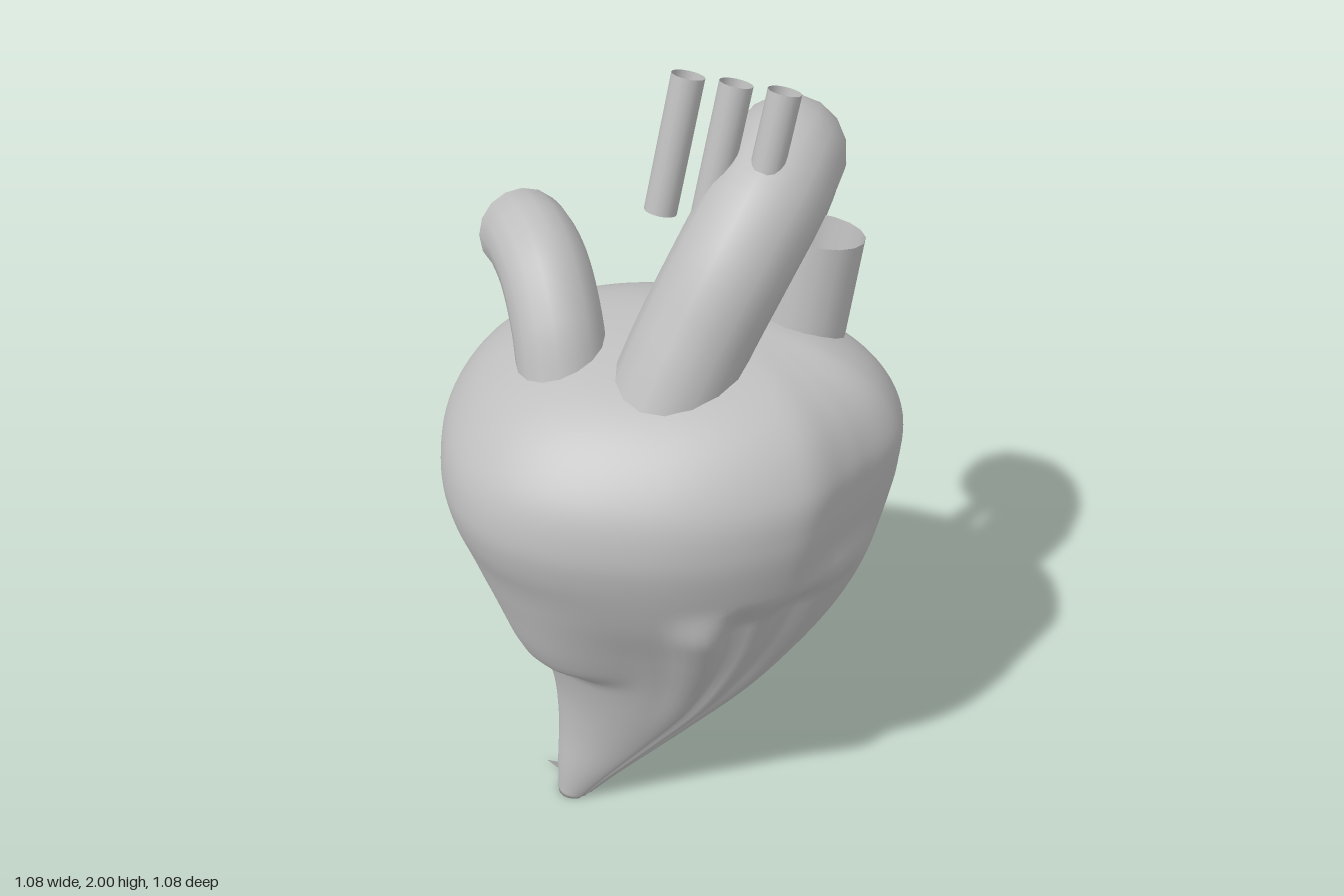
import * as THREE from 'three';

const tissue = new THREE.MeshStandardMaterial({ color: 0xbebebe, side: THREE.DoubleSide });
tissue.name = 'tissue grey';

const v = (x, y, z) => new THREE.Vector3(x, y, z);
const step = THREE.MathUtils.smoothstep;

// Cross-sections of the body: y, min x, max x, min z, max z
const SECTIONS = [
  [0.0, -0.25, -0.15, 0.14, 0.25],
  [0.1, -0.255, -0.06, 0.09, 0.26],
  [0.25, -0.265, 0.09, -0.02, 0.27],
  [0.4, -0.295, 0.235, -0.155, 0.295],
  [0.55, -0.355, 0.345, -0.27, 0.335],
  [0.7, -0.425, 0.43, -0.35, 0.395],
  [0.85, -0.49, 0.49, -0.415, 0.465],
  [1.0, -0.53, 0.525, -0.45, 0.515],
  [1.1, -0.54, 0.54, -0.46, 0.525],
  [1.2, -0.52, 0.54, -0.435, 0.495],
  [1.3, -0.45, 0.49, -0.345, 0.41],
  [1.37, -0.34, 0.4, -0.24, 0.3],
  [1.41, -0.22, 0.27, -0.15, 0.16],
  [1.435, 0.0, 0.02, -0.03, -0.01],
];

function makeBody() {
  const spline = (f) => new THREE.CatmullRomCurve3(SECTIONS.map(f), false, 'catmullrom', 0.5);
  const centres = spline(([y, a, b, c, d]) => v((a + b) / 2, y, (c + d) / 2));
  const radii = spline(([y, a, b, c, d]) => v((b - a) / 2, y, (d - c) / 2));
  const rows = 91, cols = 120;
  const pos = [], index = [];
  for (let i = 0; i <= rows; i++) {
    const c = centres.getPoint(i / rows), r = radii.getPoint(i / rows);
    const low = 1 - step(c.y, 0.8, 0.93);
    const swell = step(c.y, 0.52, 0.61) * (1 - step(c.y, 0.62, 0.95));
    for (let j = 0; j < cols; j++) {
      const t = (j / cols) * Math.PI * 2;
      const turn = (a) => Math.atan2(Math.sin(t - a), Math.cos(t - a));
      const near = (a, inner, outer) => 1 - step(Math.abs(turn(a)), inner, outer);
      // Folds sunk into the front of the left side, below the wide upper part
      const side = step(turn(0), 0, 0.3) * (1 - step(turn(0), 0.82, 1.02));
      const folds = low * side * (0.09 + 0.035 * Math.cos(14 * (t - 0.5)));
      // Raised edge along the front of the folds
      const edge = 0.07 * low * step(c.y, 0.3, 0.8) * near(1.06, 0.02, 0.2);
      // Shallow valley down the left side of the upper part
      const valley = 0.065 * step(c.y, 0.85, 1) * near(0.25, 0.05, 0.42);
      // Swelling on the front, ending in a notch
      const bulge = 0.15 * swell * near(1.98, 0.05, 0.6)
        + 0.045 * step(c.y, 0.75, 1) * near(2.0, 0, 0.7);
      // Squarer back right corner towards the tip
      const corner = t > Math.PI && t < Math.PI * 1.5
        ? 0.3 * Math.sin(2 * t) ** 2 * step(c.y, 0, 0.15) * (1 - step(c.y, 0.2, 0.55)) : 0;
      const k = 1 - folds + edge - valley + bulge + corner;
      const x = Math.cos(t) * r.x * k;
      const shear = 0.1 * x * (x > 0 ? 1 : Math.max(0, Math.sin(t)));
      pos.push(c.x + x, c.y, c.z + Math.sin(t) * r.z * k - shear);
      if (i < rows) {
        const a = i * cols + j, b = i * cols + ((j + 1) % cols);
        index.push(a, a + cols, b, b, a + cols, b + cols);
      }
    }
  }
  // Close the tip and the crown
  const n = pos.length / 3, top = rows * cols;
  pos.push(-0.2, 0, 0.195, 0.01, 1.436, -0.02);
  for (let j = 0; j < cols; j++) {
    const k = (j + 1) % cols;
    index.push(n, j, k, n + 1, top + k, top + j);
  }
  const g = new THREE.BufferGeometry();
  g.setAttribute('position', new THREE.Float32BufferAttribute(pos, 3));
  g.setIndex(index);
  g.computeVertexNormals();
  return g;
}

export function createModel() {
  const group = new THREE.Group();
  group.name = 'heart';
  const add = (name, geometry) => {
    const mesh = new THREE.Mesh(geometry, tissue);
    mesh.name = name;
    group.add(mesh);
  };
  // Open-ended vessel along a path
  const vessel = (name, points, radius, steps = 32) =>
    add(name, new THREE.TubeGeometry(new THREE.CatmullRomCurve3(points), steps, radius, 16));

  add('body', makeBody());

  // Small thin spur at the tip
  const spur = new THREE.BufferGeometry().setFromPoints([
    v(-0.245, 0.06, 0.19), v(-0.32, 0, 0.145), v(-0.2, 0, 0.19),
  ]);
  spur.computeVertexNormals();
  add('tipSpur', spur);

  // Large arch, rising at the front and bending over to the back
  vessel('archVessel', [
    v(0.06, 1.3, 0.2), v(0.105, 1.45, 0.135), v(0.165, 1.62, 0.05), v(0.2, 1.735, -0.06),
    v(0.193, 1.77, -0.18), v(0.148, 1.71, -0.32), v(0.09, 1.568, -0.435),
  ], 0.133, 40);

  // Hooked vessel on the right
  vessel('hookedVessel', [
    v(-0.18, 1.3, 0.21), v(-0.215, 1.43, 0.165), v(-0.275, 1.522, 0.1),
    v(-0.34, 1.552, 0.035), v(-0.4, 1.54, -0.028),
  ], 0.105);

  // Short straight vessel at the back left
  vessel('shortVessel', [v(0.245, 1.3, -0.16), v(0.274, 1.6, -0.2)], 0.108, 4);

  // Three thin branches above the arch
  for (const x of [0.018, 0.128, 0.237])
    vessel('branchVessel', [v(x - 0.04, 1.69, 0.022), v(x, 1.99, -0.037)], 0.037, 4);

  return group;
}
